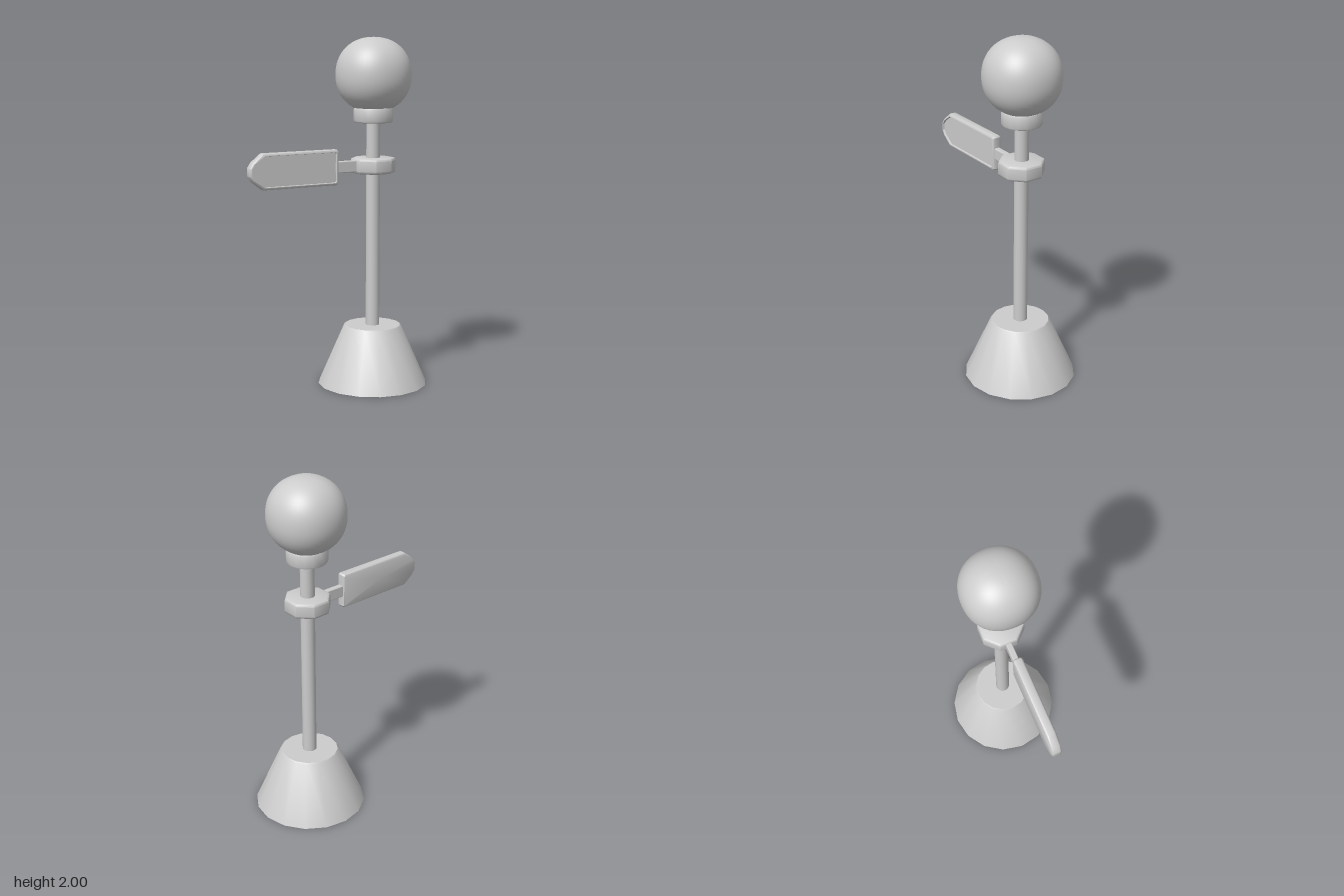
import * as THREE from 'three';
import { toCreasedNormals } from 'three/addons/utils/BufferGeometryUtils.js';
import { RoundedBoxGeometry } from 'three/addons/geometries/RoundedBoxGeometry.js';

const AXIS_X = 0.238; // the post stands off-centre, the paddle balances it

export function createModel() {
  const group = new THREE.Group();
  const grey = new THREE.MeshStandardMaterial({ color: 0xcccccc, side: THREE.DoubleSide });
  grey.name = 'plain grey';

  const add = (name, geometry, x = AXIS_X, y = 0, z = 0) => {
    const mesh = new THREE.Mesh(geometry, grey);
    mesh.name = name;
    mesh.position.set(x, y, z);
    group.add(mesh);
    return mesh;
  };

  // Turned part from [radius, height] pairs, listed bottom to top
  const turned = (profile, sides, crease, start = 0) => toCreasedNormals(
    new THREE.LatheGeometry(profile.map(([r, y]) => new THREE.Vector2(r, y)), sides, start), crease);

  // Closed ring with chamfered rims
  const collar = (r, y0, y1, b) => [
    [0, y0], [r - b, y0], [r - b * 0.3, y0 + b * 0.3], [r, y0 + b],
    [r, y1 - b], [r - b * 0.3, y1 - b * 0.3], [r - b, y1], [0, y1],
  ];

  // Flared foot, hollow underneath
  add('base', turned([[0.317, 0], [0.169, 0.338], [0.162, 0.345], [0, 0.345]], 16, 0.6));
  add('post', turned([[0.04, 0.34], [0.04, 1.54]], 16, 0.6));
  add('clamp', turned(collar(0.13, 1.232, 1.32, 0.015), 8, 0.82, Math.PI / 8));
  add('globeCup', turned(collar(0.114, 1.52, 1.605, 0.012), 16, 0.6));

  // Globe: a sphere swollen very slightly towards a cube
  const globe = new THREE.SphereGeometry(1, 48, 32);
  const pos = globe.attributes.position;
  const v = new THREE.Vector3();
  const P = 2.15;
  for (let i = 0; i < pos.count; i++) {
    v.fromBufferAttribute(pos, i);
    const n = Math.abs(v.x) ** P + Math.abs(v.y) ** P + Math.abs(v.z) ** P;
    v.multiplyScalar(0.2115 / n ** (1 / P));
    pos.setXYZ(i, v.x, v.y, v.z);
  }
  add('globe', toCreasedNormals(globe, 1), AXIS_X, 1.7885);

  add('arm', new RoundedBoxGeometry(0.16, 0.066, 0.034, 2, 0.006), 0.06, 1.276);
  add('paddle', paddleGeometry(), -0.2775, 1.277);
  return group;
}

// Paddle: bullet outline stacked through its thickness, with a recessed front
function paddleGeometry() {
  const hx = 0.2775, hy = 0.1;
  const upper = [[hx, hy - 0.008], [hx - 0.008, hy], [-0.19, hy], [-0.252, 0.052], [-0.272, 0.022]];
  const outline = [...upper, ...upper.map(([x, y]) => [x, -y]).reverse()];
  // [inset, z] from the back face to the floor of the recess
  const layers = [[0.012, -0.029], [0.004, -0.025], [0, -0.017], [0, 0.016],
    [0.003, 0.023], [0.009, 0.027], [0.014, 0.027], [0.016, 0.016]];
  const rings = layers.map(([d, z]) => outline.map(([x, y]) =>
    [x * (hx - d) / hx, y * (hy - d) / hy, z]));
  const verts = [];
  const tri = (...points) => points.forEach((p) => verts.push(...p));
  const n = outline.length;
  const first = rings[0], last = rings[rings.length - 1];
  for (let i = 0; i < n; i++) {
    const j = (i + 1) % n;
    for (let r = 0; r < rings.length - 1; r++) {
      const a = rings[r], b = rings[r + 1];
      tri(a[i], a[j], b[j]);
      tri(a[i], b[j], b[i]);
    }
    tri([0, 0, first[0][2]], first[j], first[i]);
    tri([0, 0, last[0][2]], last[i], last[j]);
  }
  const geometry = new THREE.BufferGeometry();
  geometry.setAttribute('position', new THREE.Float32BufferAttribute(verts, 3));
  return toCreasedNormals(geometry, 0.6);
}
